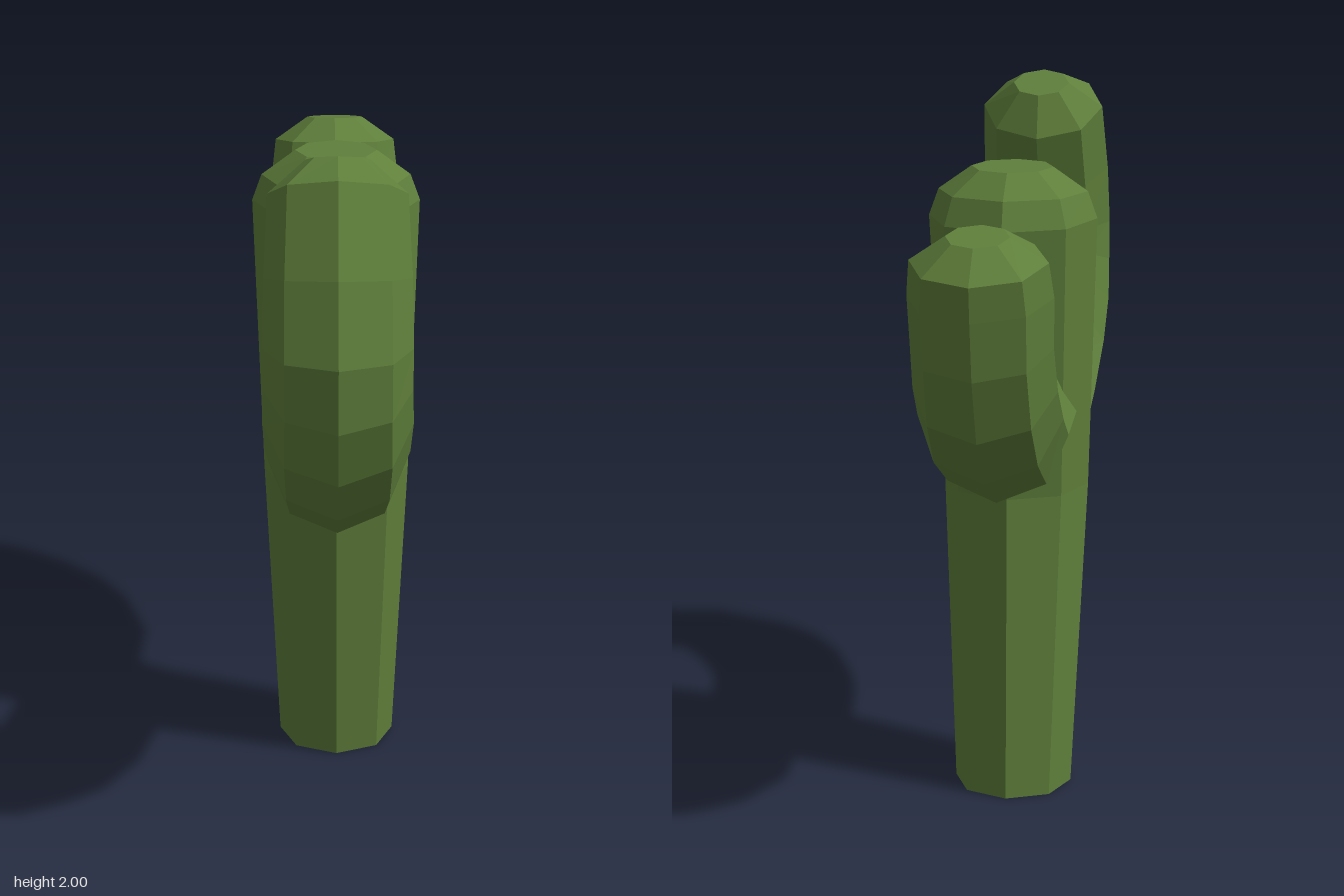
import * as THREE from 'three';

const SIDES = 8;
const green = new THREE.MeshStandardMaterial({ color: 0x5f7f3b, flatShading: true });

// Skins octagonal rings. Each ring is given by two opposite corners in the
// x = 0 plane, [z1, y1, z2, y2]; its half-width in x equals half their distance.
function skin(name, rings) {
  const pos = [], index = [];
  for (const [z1, y1, z2, y2] of rings) {
    const cz = (z1 + z2) / 2, cy = (y1 + y2) / 2;
    const hz = (z1 - z2) / 2, hy = (y1 - y2) / 2;
    const r = Math.hypot(hz, hy);
    for (let i = 0; i < SIDES; i++) {
      const a = (i / SIDES) * Math.PI * 2;
      pos.push(Math.sin(a) * r, cy + Math.cos(a) * hy, cz + Math.cos(a) * hz);
    }
  }
  const last = (rings.length - 1) * SIDES;
  for (let k = 0; k < last; k += SIDES) {
    for (let i = 0; i < SIDES; i++) {
      const j = (i + 1) % SIDES;
      index.push(k + i, k + j, k + SIDES + j, k + i, k + SIDES + j, k + SIDES + i);
    }
  }
  // flat end caps
  for (let i = 1; i < SIDES - 1; i++) {
    index.push(0, i + 1, i, last, last + i, last + i + 1);
  }
  const indexed = new THREE.BufferGeometry();
  indexed.setAttribute('position', new THREE.Float32BufferAttribute(pos, 3));
  indexed.setIndex(index);
  const geometry = indexed.toNonIndexed();
  geometry.computeVertexNormals();
  const mesh = new THREE.Mesh(geometry, green);
  mesh.name = name;
  return mesh;
}

export function createModel() {
  const cactus = new THREE.Group();
  cactus.name = 'cactus';

  // Trunk: leans forward, then back, with a domed top
  cactus.add(skin('trunk', [
    [0.085, 0, -0.255, 0],
    [0.195, 0.89, -0.222, 0.89],
    [0.149, 1.68, -0.325, 1.67],
    [0.125, 1.75, -0.295, 1.75],
    [0.02, 1.82, -0.21, 1.815],
  ]));

  // Tall front arm: lower (outer) corner first
  cactus.add(skin('frontArm', [
    [0.04, 0.787, -0.03, 1.145],
    [0.459, 0.886, 0.342, 1.235],
    [0.708, 1.03, 0.46, 1.326],
    [0.846, 1.183, 0.52, 1.406],
    [0.92, 1.353, 0.548, 1.46],
    [0.936, 1.53, 0.55, 1.515],
    [0.878, 1.745, 0.51, 1.645],
    [0.772, 1.973, 0.448, 1.815],
    [0.64, 2.0, 0.485, 1.94],
  ]));

  // Short back arm: upper (inner) corner first
  cactus.add(skin('backArm', [
    [-0.05, 1.31, -0.05, 0.944],
    [-0.337, 1.316, -0.438, 0.944],
    [-0.427, 1.369, -0.671, 1.061],
    [-0.485, 1.42, -0.804, 1.204],
    [-0.523, 1.496, -0.883, 1.385],
    [-0.538, 1.613, -0.915, 1.544],
    [-0.576, 1.708, -0.931, 1.639],
    [-0.687, 1.756, -0.851, 1.724],
  ]));

  return cactus;
}
